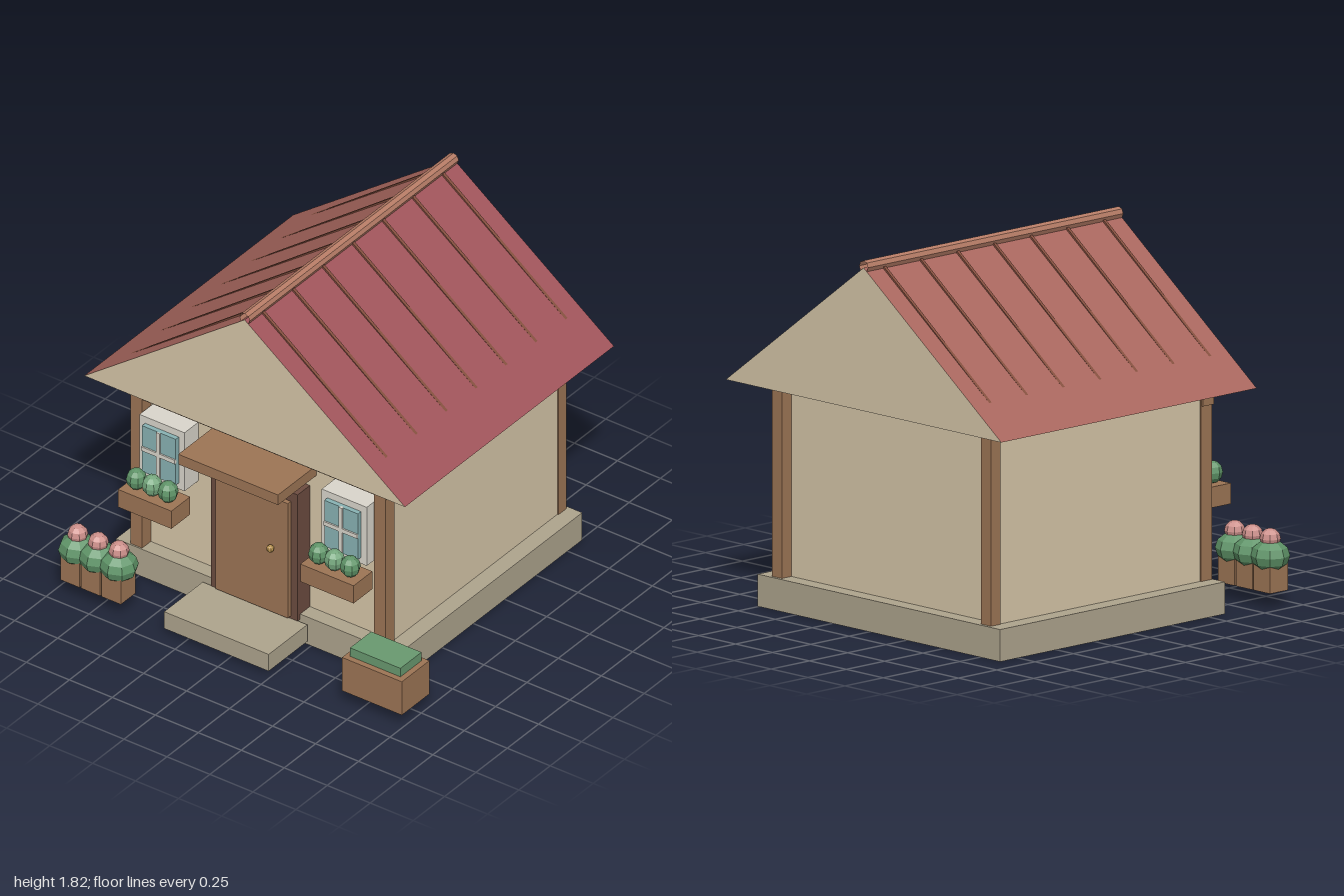
import * as THREE from 'three';

const mat = (color, side = THREE.FrontSide) => new THREE.MeshStandardMaterial({ color, flatShading: true, side });
const WALL = mat(0xd6c6a8), STONE = mat(0xaea48d), WOOD = mat(0x9d7555), DARK = mat(0x6c4c40);
const TRIM = mat(0xdad6cc), GLASS = mat(0x88b2b3), LEAF = mat(0x5f9468), LEAF_LIGHT = mat(0x76a87e);
const BLOOM = mat(0xcc8f8a), BRASS = mat(0xb8924e), HEDGE = mat(0x69996f);
const RIDGE = mat(0xb67c66, THREE.DoubleSide), RIB = mat(0x85503f);
const GABLE = mat(0xd6c6a8, THREE.DoubleSide);
const CX = -0.064; // centre line of the house

export function createModel() {
  const root = new THREE.Group();

  const add = (name, geometry, material, parent = root) => {
    const mesh = new THREE.Mesh(geometry, material);
    mesh.name = name;
    parent.add(mesh);
    return mesh;
  };
  // Box given by its min and max on each axis
  const box = (name, material, x0, x1, y0, y1, z0, z1, parent = root) => {
    const m = add(name, new THREE.BoxGeometry(x1 - x0, y1 - y0, z1 - z0), material, parent);
    m.position.set((x0 + x1) / 2, (y0 + y1) / 2, (z0 + z1) / 2);
    return m;
  };
  const ball = (name, material, x, y, z, rx, ry, parent) => {
    const m = add(name, new THREE.SphereGeometry(1, 8, 6), material, parent);
    m.position.set(x, y, z);
    m.scale.set(rx, ry, rx);
    return m;
  };
  const group = (name) => {
    const g = new THREE.Group();
    g.name = name;
    root.add(g);
    return g;
  };

  // Foundation, walls and timber frame
  box('foundation', STONE, CX - 0.821, CX + 0.821, 0, 0.155, -0.867, 0.6);
  box('walls', WALL, CX - 0.735, CX + 0.735, 0.15, 1.09, -0.787, 0.522);
  for (const s of [-1, 1]) {
    const x = CX + s * 0.708;
    box('frontPost', WOOD, x - 0.033, x + 0.033, 0.15, 1.078, 0.522, 0.592);
    box('backPost', WOOD, x - 0.033, x + 0.033, 0.15, 1.078, -0.85, -0.787);
  }
  box('frontBeam', WOOD, CX - 0.751, CX + 0.751, 1.0, 1.068, 0.525, 0.595);

  // Roof: two open slopes, two gable ends, ribs and a ridge tube
  const roof = group('roof');
  const HALF = 0.933, EAVE = 1.09, APEX = 1.78, ZF = 0.7, ZB = -0.967;
  const midZ = (ZF + ZB) / 2, rise = APEX - EAVE;
  const slopeColors = { '-1': 0xa9675e, 1: 0xa0545a };
  for (const s of [-1, 1]) {
    const slope = add(s > 0 ? 'leftSlope' : 'rightSlope',
      new THREE.PlaneGeometry(Math.hypot(HALF, rise), ZF - ZB).rotateX(-Math.PI / 2),
      mat(slopeColors[s], THREE.DoubleSide), roof);
    slope.position.set(CX + s * HALF / 2, (EAVE + APEX) / 2, midZ);
    slope.rotation.z = -s * Math.atan2(rise, HALF);

    // Ribs sink gently into the slope towards the eave
    for (let i = 0; i < 7; i++) {
      const z = 0.582 - i * 0.239;
      const a = new THREE.Vector3(CX + s * 0.02, 1.767, z);
      const b = new THREE.Vector3(CX + s * 0.86, 1.132, z);
      const rib = add('roofRib', new THREE.BoxGeometry(0.016, a.distanceTo(b), 0.016), RIB, roof);
      rib.position.copy(a).lerp(b, 0.5);
      rib.rotation.z = Math.atan2(s * 0.84, 0.635);
    }
  }
  const tri = new THREE.Shape([
    new THREE.Vector2(CX - HALF, EAVE), new THREE.Vector2(CX + HALF, EAVE), new THREE.Vector2(CX, APEX),
  ]);
  for (const z of [ZF, ZB]) add('gable', new THREE.ShapeGeometry(tri), GABLE, roof).position.z = z;
  const ridge = add('ridge', new THREE.CylinderGeometry(0.03, 0.03, ZF - ZB, 8, 1, true), RIDGE, roof);
  ridge.rotation.x = Math.PI / 2;
  ridge.position.set(CX, 1.785, midZ);

  // Door, canopy and step
  box('doorFrame', DARK, -0.317, 0.186, 0.125, 0.842, 0.522, 0.62);
  box('door', WOOD, -0.272, 0.147, 0.14, 0.79, 0.6, 0.645);
  ball('doorKnob', BRASS, 0.056, 0.508, 0.66, 0.019, 0.019, root);
  box('canopy', WOOD, -0.355, 0.225, 0.915, 0.972, 0.52, 0.83);
  box('doorStep', STONE, -0.368, 0.24, 0.03, 0.125, 0.617, 0.925);

  // Windows with flower boxes
  for (const s of [-1, 1]) {
    const x = CX + s * 0.53;
    const win = group('window');
    box('windowFrame', TRIM, x - 0.131, x + 0.131, 0.61, 0.942, 0.522, 0.632, win);
    box('windowGlass', GLASS, x - 0.098, x + 0.098, 0.645, 0.905, 0.63, 0.657, win);
    box('mullion', TRIM, x - 0.01, x + 0.01, 0.645, 0.905, 0.65, 0.665, win);
    box('transom', TRIM, x - 0.098, x + 0.098, 0.768, 0.79, 0.65, 0.665, win);
    const flowers = group('windowBox');
    box('boxBody', WOOD, x - 0.155, x + 0.155, 0.482, 0.582, 0.62, 0.77, flowers);
    for (const i of [-1, 0, 1]) {
      ball('boxPlant', i ? LEAF : LEAF_LIGHT, x + i * 0.092, 0.636, 0.71, 0.05, 0.055, flowers);
    }
  }

  // Row of potted flowering bushes
  const pots = group('pottedPlants');
  for (let i = 0; i < 3; i++) {
    const x = -0.907 + i * 0.12;
    box('pot', WOOD, x - 0.056, x + 0.056, 0.075, 0.22, 0.82, 0.937, pots);
    ball('bush', LEAF, x, 0.243, 0.875, 0.094, 0.077, pots);
    ball('bloom', BLOOM, x, 0.325, 0.875, 0.05, 0.05, pots);
  }

  // Hedge planter on the other side
  const planter = group('hedgePlanter');
  box('planterBody', WOOD, 0.652, 1.0, 0.073, 0.262, 0.685, 0.905, planter);
  box('hedge', HEDGE, 0.677, 0.97, 0.25, 0.31, 0.707, 0.875, planter);

  return root;
}
